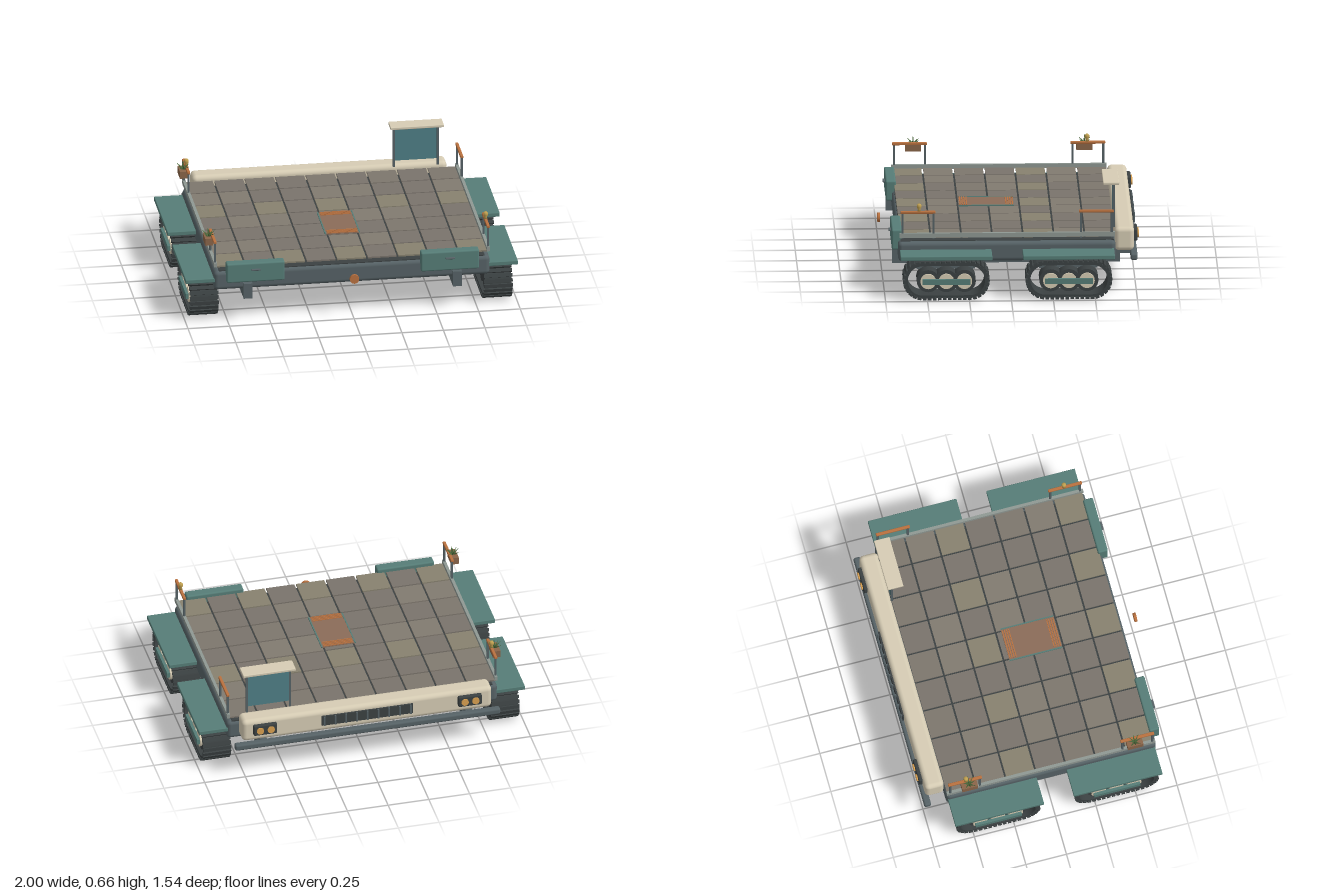
import * as THREE from 'three';
import { RoundedBoxGeometry } from 'three/addons/geometries/RoundedBoxGeometry.js';

const mat = (color) => new THREE.MeshStandardMaterial({ color });
const M = {
  slate: mat(0x566266), dark: mat(0x3b4142), teal: mat(0x567d77), cream: mat(0xd6ccb4),
  copper: mat(0xb9713f), brown: mat(0x8a6549), brass: mat(0xc0a050), leaf: mat(0x4d6b3c),
  rail: mat(0x8f9893), glass: mat(0x4f7f86), lamp: mat(0xd9a050), hatch: mat(0x8b6c58),
  tiles: [mat(0x7d766d), mat(0x817a70), mat(0x87816f), mat(0x79736b)],
};

function add(parent, name, geo, material, x = 0, y = 0, z = 0) {
  const m = new THREE.Mesh(geo, material);
  m.name = name;
  m.position.set(x, y, z);
  parent.add(m);
  return m;
}

// Box given by its extents; r rounds the edges
function box(parent, name, material, [x0, x1], [y0, y1], [z0, z1], r = 0) {
  const s = [x1 - x0, y1 - y0, z1 - z0];
  const geo = r ? new RoundedBoxGeometry(...s, 3, r) : new THREE.BoxGeometry(...s);
  return add(parent, name, geo, material, (x0 + x1) / 2, (y0 + y1) / 2, (z0 + z1) / 2);
}

function group(parent, name, x = 0, y = 0, z = 0) {
  const g = new THREE.Group();
  g.name = name;
  g.position.set(x, y, z);
  parent.add(g);
  return g;
}

// Stadium outline with straight half-length a and end radius r
function stadium(target, a, r) {
  target.moveTo(-a, -r);
  target.lineTo(a, -r);
  target.absarc(a, 0, r, -Math.PI / 2, Math.PI / 2, false);
  target.lineTo(-a, r);
  target.absarc(-a, 0, r, Math.PI / 2, Math.PI * 1.5, false);
  return target;
}

// One crawler unit, outer side towards +x * side
function crawler(parent, side, z) {
  const g = group(parent, 'crawlerTrack', side * 0.885, 0.118, z);
  const shape = stadium(new THREE.Shape(), 0.14, 0.107);
  shape.holes.push(stadium(new THREE.Path(), 0.14, 0.09));
  const belt = new THREE.ExtrudeGeometry(shape, { depth: 0.16, bevelEnabled: false, curveSegments: 16 });
  belt.translate(0, 0, -0.08).rotateY(-Math.PI / 2);
  add(g, 'trackBelt', belt, M.dark);

  const path = stadium(new THREE.Path(), 0.14, 0.111);
  const treadGeo = new THREE.BoxGeometry(0.172, 0.014, 0.021);
  const count = 42;
  for (let i = 0; i < count; i++) {
    const p = path.getPointAt(i / count), t = path.getTangentAt(i / count);
    const tread = add(g, 'trackTread', treadGeo, M.dark, 0, p.y, p.x);
    tread.rotation.x = -Math.atan2(t.y, t.x);
  }

  for (const dz of [-0.108, 0, 0.108]) {
    const wheel = new THREE.CylinderGeometry(0.068, 0.068, 0.13, 28).rotateZ(Math.PI / 2);
    add(g, 'roadWheel', wheel, M.dark, 0, -0.006, dz);
    const hub = new THREE.CylinderGeometry(0.046, 0.046, 0.02, 28).rotateZ(Math.PI / 2);
    add(g, 'wheelHub', hub, M.cream, side * 0.068, -0.006, dz);
  }
  add(g, 'wheelBar', new THREE.BoxGeometry(0.02, 0.032, 0.285), M.teal, side * 0.085, -0.006, 0);
  add(g, 'bogieMount', new THREE.BoxGeometry(0.13, 0.042, 0.35), M.slate, -side * 0.104, 0.065, 0);
}

function railing(parent, side, z) {
  const g = group(parent, 'cornerRailing', side * 0.822, 0, z);
  for (const dz of [-0.092, 0.092]) box(g, 'railingPost', M.slate, [-0.006, 0.006], [0.34, 0.5], [dz - 0.006, dz + 0.006]);
  box(g, 'handrail', M.copper, [-0.009, 0.009], [0.495, 0.511], [-0.104, 0.104], 0.004);
}

function planter(parent, z) {
  const g = group(parent, 'planter', -0.843, 0, z);
  box(g, 'planterBox', M.brown, [-0.027, 0.02], [0.455, 0.499], [-0.048, 0.048]);
  for (let i = 0; i < 9; i++) {
    const leaf = new THREE.ConeGeometry(0.007, 0.055, 5).translate(0, 0.0275, 0);
    leaf.rotateX(i === 8 ? 0 : 0.75 + 0.25 * (i % 2)).rotateY((i * Math.PI) / 4);
    add(g, 'leaf', leaf, M.leaf, 0, 0.495, 0);
  }
}

function cup(parent, side, z) {
  const pts = [[0, 0], [0.011, 0], [0.008, 0.012], [0.014, 0.024], [0.014, 0.036], [0.009, 0.044], [0, 0.044]];
  const geo = new THREE.LatheGeometry(pts.map(([x, y]) => new THREE.Vector2(x, y)), 16);
  add(parent, 'brassLantern', geo, M.brass, side * 0.822, 0.51, z);
}

export function createModel() {
  const root = new THREE.Group();
  root.name = 'crawlerPlatform';

  // Chassis
  box(root, 'chassis', M.slate, [-0.83, 0.83], [0.2, 0.32], [-0.625, 0.67], 0.025);
  box(root, 'subDeck', M.dark, [-0.8, 0.8], [0.31, 0.323], [-0.615, 0.655]);
  for (const s of [-1, 1]) {
    box(root, 'frameBeam', M.slate, [s * 0.63 - 0.027, s * 0.63 + 0.027], [0.15, 0.245], [-0.655, 0.7]);
    box(root, 'deckEdgeRail', M.rail, [s * 0.821 - 0.009, s * 0.821 + 0.009], [0.348, 0.375], [-0.622, 0.663]);
  }

  // Tiled deck
  const deck = group(root, 'tiledDeck', 0, 0.349, 0.018);
  const pitch = 0.1835;
  const tileGeo = new THREE.BoxGeometry(pitch - 0.011, 0.01, pitch - 0.011);
  for (let i = 0; i < 9; i++)
    for (let j = 0; j < 7; j++)
      add(deck, 'deckTile', tileGeo, M.tiles[(i * i * 3 + j * 5 + i * j) % 4], (i - 4) * pitch, 0, (j - 3) * pitch);

  // Deck hatch with slatted ends
  const hatch = group(root, 'deckHatch', 0, 0.357, 0.122);
  box(hatch, 'hatchPanel', M.hatch, [-0.1, 0.1], [-0.004, 0.002], [-0.163, 0.163]);
  for (const s of [-1, 1]) {
    box(hatch, 'hatchEdge', M.teal, [s * 0.102 - 0.004, s * 0.102 + 0.004], [-0.004, 0.004], [-0.163, 0.163]);
    for (let i = 0; i < 4; i++) {
      const z = s * (0.156 - i * 0.013);
      box(hatch, 'hatchSlat', M.copper, [-0.09, 0.09], [0, 0.006], [z - 0.003, z + 0.003]);
    }
  }

  // Tracks, fenders and railings at the four corners
  for (const s of [-1, 1]) {
    for (const z of [0.387, -0.343]) {
      crawler(root, s, z);
      const x = [s * 0.815, s].sort((a, b) => a - b);
      box(root, 'fender', M.teal, x, [0.249, 0.275], [z - 0.273, z + 0.273], 0.004);
    }
    railing(root, s, 0.552);
    railing(root, s, -0.51);
  }
  planter(root, 0.53);
  planter(root, -0.49);
  cup(root, 1, 0.545);
  cup(root, -1, -0.505);

  // Front lockers and coupling light
  for (const s of [-1, 1]) {
    const c = s * 0.585;
    box(root, 'frontLocker', M.teal, [c - 0.175, c + 0.175], [0.258, 0.38], [0.645, 0.706], 0.01);
    box(root, 'lockerHandle', M.slate, [c - 0.028, c + 0.028], [0.334, 0.343], [0.7, 0.72], 0.003);
  }
  const disc = new THREE.CylinderGeometry(0.028, 0.028, 0.016, 24).rotateX(Math.PI / 2);
  add(root, 'frontMarker', disc, M.copper, 0, 0.263, 0.761);

  // Rear console with lamps, grille and bumper
  box(root, 'rearConsole', M.cream, [-0.768, 0.765], [0.24, 0.385], [-0.738, -0.622], 0.028);
  box(root, 'rearBumper', M.slate, [-0.815, 0.812], [0.195, 0.235], [-0.757, -0.715], 0.012);
  for (const s of [-1, 1]) {
    box(root, 'bumperBracket', M.slate, [s * 0.63 - 0.02, s * 0.63 + 0.02], [0.2, 0.232], [-0.73, -0.62]);
    box(root, 'lampHousing', M.dark, [s * 0.628 - 0.072, s * 0.628 + 0.072], [0.287, 0.357], [-0.76, -0.73], 0.008);
    for (const d of [-0.033, 0.033]) {
      const lens = new THREE.CylinderGeometry(0.022, 0.022, 0.012, 20).rotateX(Math.PI / 2);
      add(root, 'rearLamp', lens, M.lamp, s * 0.628 + d, 0.322, -0.762);
    }
  }
  box(root, 'grille', M.dark, [-0.28, 0.28], [0.287, 0.352], [-0.748, -0.73]);
  for (let i = 0; i < 9; i++) {
    const x = (i - 4) * 0.066;
    box(root, 'grilleSlat', M.slate, [x - 0.005, x + 0.005], [0.289, 0.35], [-0.757, -0.74]);
  }

  // Windscreen shelter
  const shelter = group(root, 'shelter', 0.576, 0, -0.62);
  for (const s of [-1, 1]) box(shelter, 'shelterPost', M.slate, [s * 0.132 - 0.006, s * 0.132 + 0.006], [0.375, 0.642], [-0.006, 0.006]);
  box(shelter, 'shelterGlass', M.glass, [-0.127, 0.127], [0.415, 0.635], [-0.003, 0.003]);
  box(shelter, 'shelterRoof', M.cream, [-0.161, 0.161], [0.639, 0.656], [-0.03, 0.066], 0.004);

  return root;
}
